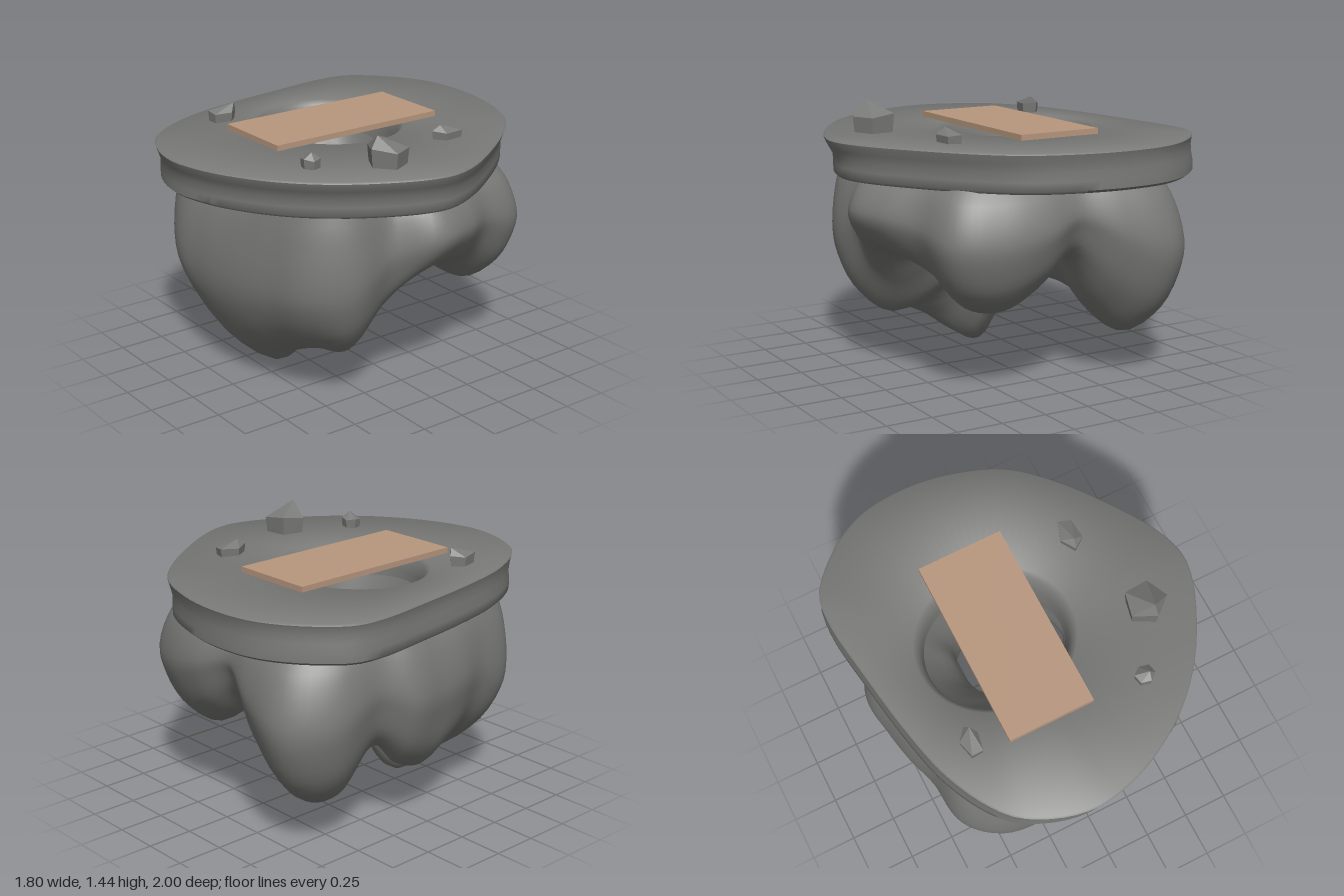
import * as THREE from 'three';
import { toCreasedNormals } from 'three/addons/utils/BufferGeometryUtils.js';
import { ConvexGeometry } from 'three/addons/geometries/ConvexGeometry.js';

const V = (x, y, z) => new THREE.Vector3(x, y, z);
const mix = THREE.MathUtils.lerp;

// Skin a list of closed loops that all have the same number of points
function loft(loops) {
  const n = loops[0].length, index = [];
  const pos = loops.flat().flatMap((p) => [p.x, p.y, p.z]);
  for (let i = 0; i < loops.length - 1; i++) {
    for (let j = 0; j < n; j++) {
      const a = i * n + j, b = i * n + (j + 1) % n, c = a + n, d = b + n;
      index.push(a, b, d, a, d, c);
    }
  }
  const g = new THREE.BufferGeometry();
  g.setAttribute('position', new THREE.Float32BufferAttribute(pos, 3));
  g.setIndex(index);
  g.computeVertexNormals();
  return g;
}

// Point on the oval opening, angle measured from the front towards +x
const holePoint = (t, s, y) => V(-0.18 + 0.38 * s * Math.sin(t), y, -0.02 + 0.35 * s * Math.cos(t));

// Top outline of the slab as x, z pairs, running front, left, back, right
const OUTLINE = [
  [-0.12, 1], [0.02, 0.98], [0.2, 0.92], [0.45, 0.77], [0.65, 0.57], [0.8, 0.33], [0.88, 0.14],
  [0.9, 0], [0.85, -0.17], [0.7, -0.42], [0.5, -0.68], [0.3, -0.86], [0.05, -0.96], [-0.2, -1],
  [-0.45, -0.98], [-0.6, -0.92], [-0.75, -0.81], [-0.88, -0.65], [-0.9, -0.48], [-0.86, -0.15],
  [-0.8, 0.22], [-0.73, 0.5], [-0.62, 0.73], [-0.5, 0.87], [-0.3, 0.97],
];

function slabGeometry() {
  const curve = new THREE.CatmullRomCurve3(OUTLINE.map(([x, z]) => V(x, 0, z)), true);
  const rim = curve.getSpacedPoints(96).slice(0, 96);
  // Lower loops lean slightly towards the back right
  const ring = (s, y, lean = 0) => rim.map((p) => V(p.x * s - 0.025 * lean, y, p.z * s - 0.015 * lean));
  const hole = (s, y) => rim.map((p) => holePoint(Math.atan2(p.x + 0.18, p.z + 0.02), s, y));
  return toCreasedNormals(loft([
    hole(0.98, 1.075), ring(0.96, 1.07, 1), ring(0.978, 1.085, 1), ring(0.978, 1.13, 1),
    ring(0.975, 1.18, 0.8), ring(0.985, 1.22, 0.3), ring(0.996, 1.255), ring(1, 1.268), ring(0.99, 1.277),
    hole(1.12, 1.277), hole(1.05, 1.255), hole(1, 1.18), hole(0.98, 1.075),
  ]), 0.85);
}

// Lobed ring below: outer radius, lowest height, radius of the lowest point, inner radius,
// inset under the slab, every 15 degrees from the front towards +x
const LOBES = [
  [0.78, 0.00, 0.36, 0.10, 0.18], [0.80, 0.06, 0.39, 0.11, 0.16], [0.85, 0.16, 0.46, 0.13, 0.10],
  [0.93, 0.23, 0.55, 0.16, 0.07], [0.92, 0.25, 0.62, 0.20, 0.06], [0.81, 0.45, 0.59, 0.25, 0.08],
  [0.92, 0.64, 0.62, 0.31, 0.13], [0.90, 0.64, 0.63, 0.32, 0.13], [0.88, 0.57, 0.64, 0.33, 0.11],
  [0.99, 0.44, 0.71, 0.35, 0.14], [0.95, 0.43, 0.69, 0.35, 0.13], [0.88, 0.54, 0.66, 0.35, 0.12],
  [0.80, 0.67, 0.62, 0.35, 0.10], [0.91, 0.42, 0.66, 0.33, 0.13], [1.04, 0.23, 0.71, 0.33, 0.18],
  [0.98, 0.26, 0.70, 0.32, 0.16], [0.80, 0.48, 0.61, 0.30, 0.09], [0.80, 0.34, 0.56, 0.25, 0.12],
  [0.75, 0.29, 0.55, 0.22, 0.12], [0.74, 0.32, 0.53, 0.19, 0.10], [0.76, 0.33, 0.51, 0.16, 0.06],
  [0.87, 0.25, 0.51, 0.15, 0.06], [0.87, 0.14, 0.45, 0.13, 0.09], [0.80, 0.01, 0.38, 0.11, 0.15],
];

// Smooth periodic interpolation of the lobe table
function lobeAt(u) {
  const n = LOBES.length, i = Math.floor(u), t = u - i;
  const row = (k) => LOBES[(i + k + n) % n];
  return row(0).map((p1, c) => {
    const p0 = row(-1)[c], p2 = row(1)[c], p3 = row(2)[c];
    return p1 + 0.5 * t * (p2 - p0 + t * (2 * p0 - 5 * p1 + 4 * p2 - p3 + t * (3 * (p1 - p2) + p3 - p0)));
  });
}

function undersideGeometry() {
  const n = 144, m = 32;
  const loops = Array.from({ length: m + 1 }, () => []);
  for (let j = 0; j < n; j++) {
    const t = (j / n) * Math.PI * 2;
    const [R, B, M, r, inset] = lobeAt((j / n) * LOBES.length);
    const H = 1.1 - B;
    const at = (rad, y) => V(-0.1 + rad * Math.sin(t), y, rad * Math.cos(t));
    const section = new THREE.CatmullRomCurve3([
      holePoint(t, 1.02, 1.16), at(mix(r, 0.36, 0.35), B + 0.72 * H), at(r, B + 0.45 * H),
      at(mix(r, M, 0.4), B + 0.15 * H), at(M, B), at(mix(M, R, 0.62), B + 0.16 * H),
      at(R - 0.02, B + 0.4 * H), at(R, B + 0.58 * H), at(R - inset * 0.4, B + 0.84 * H), at(R - inset, 1.1),
    ]);
    section.getPoints(m).forEach((p, i) => loops[i].push(p));
  }
  return loft(loops);
}

// Faceted stone: a leaning prism with a pointed cap
function stoneGeometry(w, h, d, sides, turn, leanX, leanZ) {
  const pts = [V(leanX, h, leanZ)];
  for (let i = 0; i < sides; i++) {
    const a = turn + (i / sides) * Math.PI * 2;
    const x = Math.cos(a) * w / 2, z = Math.sin(a) * d / 2;
    pts.push(V(x * 0.9, -0.03, z * 0.9), V(x, h * (0.5 + 0.1 * (i % 2)), z));
  }
  return new ConvexGeometry(pts);
}

export function createModel() {
  const group = new THREE.Group();
  const stone = new THREE.MeshStandardMaterial({ color: 0x7a7a78 });
  stone.name = 'grey stone';
  const wood = new THREE.MeshStandardMaterial({ color: 0xb8977e });
  wood.name = 'pale wood';

  const add = (name, geometry, material, x = 0, y = 0, z = 0) => {
    const mesh = new THREE.Mesh(geometry, material);
    mesh.name = name;
    mesh.position.set(x, y, z);
    group.add(mesh);
  };

  add('slab', slabGeometry(), stone);
  add('lobedUnderside', undersideGeometry(), stone);
  add('plank', new THREE.BoxGeometry(0.47, 0.03, 1.04), wood, -0.13, 1.297, -0.01);

  // Loose stones on the slab
  add('largeStone', stoneGeometry(0.23, 0.16, 0.22, 5, 0.2, 0.01, 0.07), stone, 0.58, 1.28, 0.175);
  add('frontStone', stoneGeometry(0.11, 0.08, 0.1, 6, 0.3, 0.02, 0.01), stone, 0.395, 1.28, 0.51);
  add('rightStone', stoneGeometry(0.11, 0.09, 0.17, 5, 0.9, 0.02, -0.06), stone, -0.54, 1.28, 0.43);
  add('backStone', stoneGeometry(0.12, 0.07, 0.19, 5, 0.5, 0.0, 0.05), stone, 0.42, 1.28, -0.35);
  return group;
}
